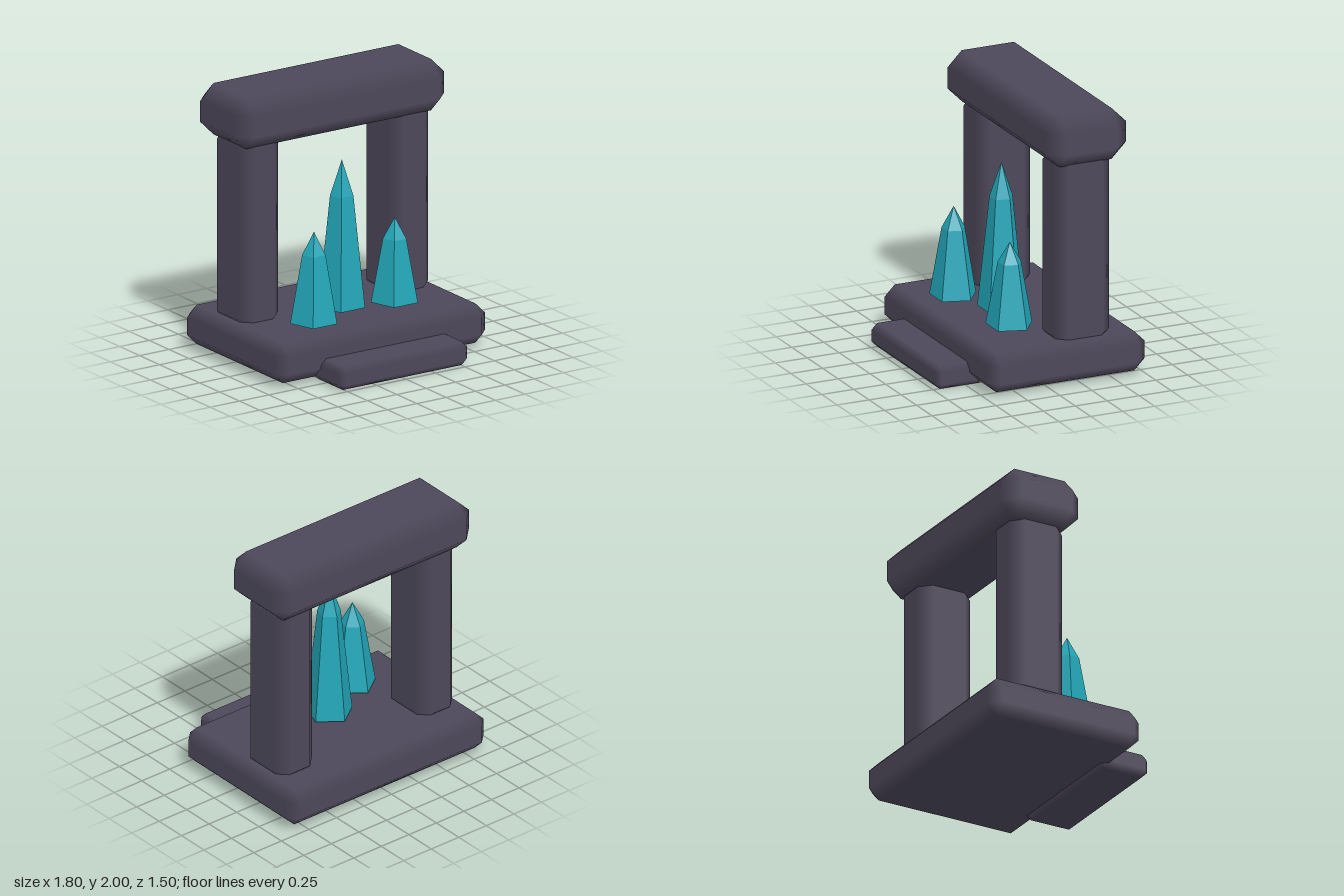
import * as THREE from 'three';
import { ConvexGeometry } from 'three/addons/geometries/ConvexGeometry.js';

// Box with every edge chamfered by c; normals blend across the chamfers
function chamferBox(w, h, d, c) {
  const half = [w / 2, h / 2, d / 2];
  const points = [];
  for (let axis = 0; axis < 3; axis++)
    for (const x of [-1, 1]) for (const y of [-1, 1]) for (const z of [-1, 1])
      points.push(new THREE.Vector3(...[x, y, z].map((s, i) => s * (half[i] - (i === axis ? 0 : c)))));
  const geometry = new ConvexGeometry(points);
  const pos = geometry.attributes.position;
  const normal = geometry.attributes.normal;
  for (let i = 0; i < pos.count; i++) {
    const p = [pos.getX(i), pos.getY(i), pos.getZ(i)];
    const n = p.map((v, k) => (Math.abs(Math.abs(v) - half[k]) < 1e-4 ? Math.sign(v) : 0));
    normal.setXYZ(i, ...n);
  }
  return geometry;
}

export function createModel() {
  const model = new THREE.Group();
  model.name = 'crystalShrine';
  const stone = new THREE.MeshStandardMaterial({ color: 0x4d485a });
  stone.name = 'dark stone';
  const crystal = new THREE.MeshStandardMaterial({ color: 0x22a6b8 });
  crystal.name = 'teal crystal';

  function addBlock(name, [x0, x1], [y0, y1], [z0, z1], c) {
    const mesh = new THREE.Mesh(chamferBox(x1 - x0, y1 - y0, z1 - z0, c), stone);
    mesh.position.set((x0 + x1) / 2, (y0 + y1) / 2, (z0 + z1) / 2);
    mesh.name = name;
    model.add(mesh);
  }

  // Stonework
  addBlock('baseSlab', [-0.9, 0.9], [0.03, 0.32], [-0.75, 0.49], 0.08);
  addBlock('frontStep', [-0.55, 0.55], [0, 0.175], [0.345, 0.745], 0.045);
  addBlock('leftPillar', [0.463, 0.811], [0.25, 1.7], [-0.52, -0.08], 0.09);
  addBlock('rightPillar', [-0.811, -0.467], [0.25, 1.7], [-0.52, -0.08], 0.09);
  addBlock('lintel', [-0.9, 0.9], [1.62, 2], [-0.62, 0.015], 0.113);

  // Five-sided tapering crystals with pointed tips
  function addCrystal(name, x, z, shoulder, tip) {
    const bottom = 0.34, r = 0.174;
    const group = new THREE.Group();
    group.name = name;
    group.position.set(x, 0, z);
    const part = (partName, top, base, y0, y1, open) => {
      let geometry = new THREE.CylinderGeometry(top, base, y1 - y0, 5, 1, open, Math.PI).toNonIndexed();
      geometry.computeVertexNormals();
      const mesh = new THREE.Mesh(geometry, crystal);
      mesh.position.y = (y0 + y1) / 2;
      mesh.name = partName;
      group.add(mesh);
    };
    part('shaft', r / 2, r, bottom, shoulder, false);
    part('tip', 0, r / 2, shoulder, tip, true);
    model.add(group);
  }
  addCrystal('middleCrystal', -0.015, -0.035, 1.16, 1.42);
  addCrystal('rightCrystal', -0.385, 0.16, 0.84, 1.005);
  addCrystal('leftCrystal', 0.357, 0.08, 0.805, 0.957);

  return model;
}
